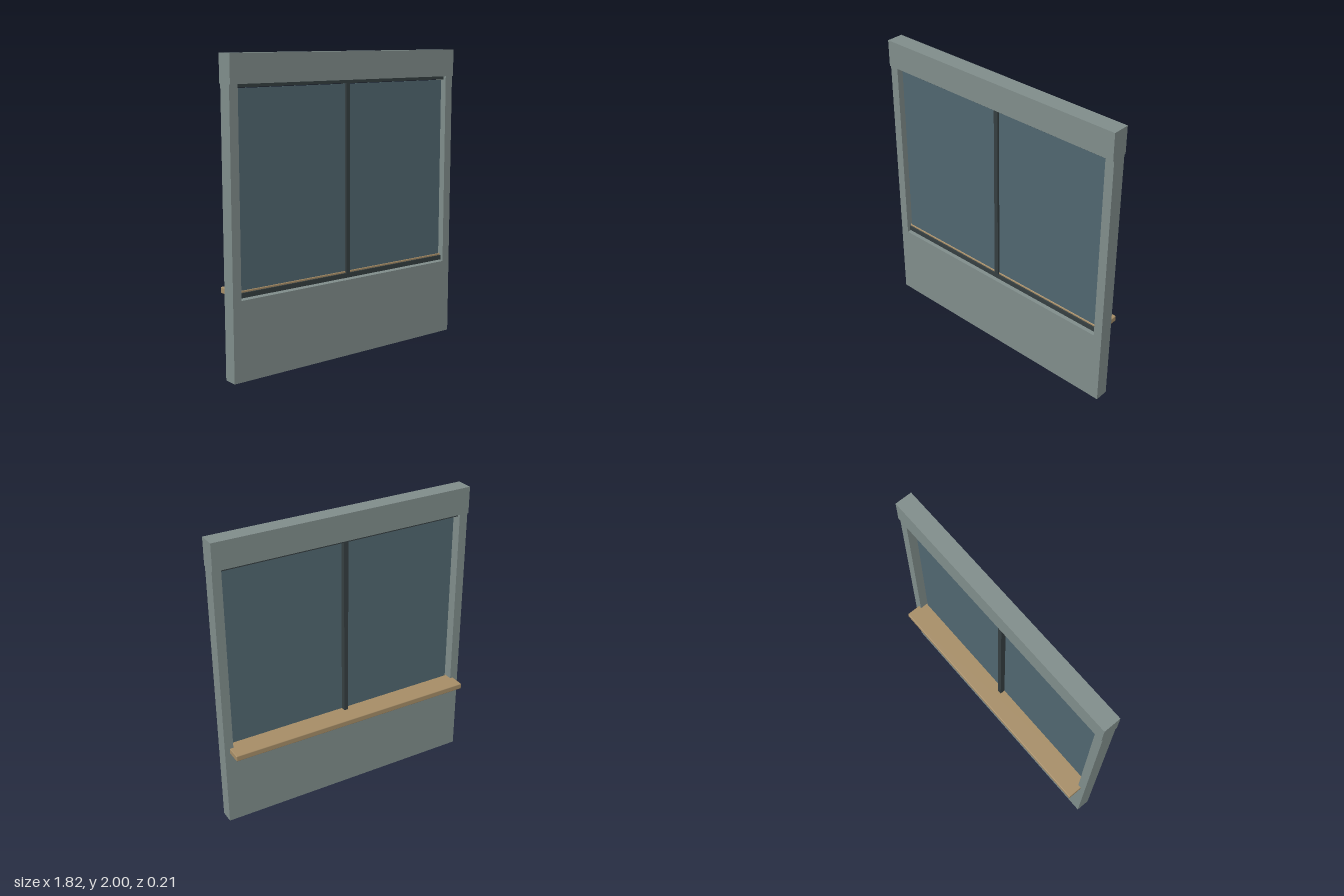
import * as THREE from 'three';
import { RoundedBoxGeometry } from 'three/addons/geometries/RoundedBoxGeometry.js';

const wallMat = new THREE.MeshStandardMaterial({ color: 0x7f8c8a });
const frameMat = new THREE.MeshStandardMaterial({ color: 0x353e40 });
const glassMat = new THREE.MeshStandardMaterial({ color: 0x50666f });
const woodMat = new THREE.MeshStandardMaterial({ color: 0xa58c66 });

export function createModel() {
  const model = new THREE.Group();
  model.name = 'windowWall';

  const add = (name, geometry, material) => {
    const mesh = new THREE.Mesh(geometry, material);
    mesh.name = name;
    model.add(mesh);
    return mesh;
  };
  // Box given by its limits on each axis
  const box = (name, material, [x0, x1], [y0, y1], [z0, z1]) =>
    add(name, new THREE.BoxGeometry(x1 - x0, y1 - y0, z1 - z0), material)
      .position.set((x0 + x1) / 2, (y0 + y1) / 2, (z0 + z1) / 2);

  // Lower wall and both jambs in one U-shaped slab
  const halfWidth = 0.91, opening = 0.85, ledge = 0.516, headerBase = 1.82;
  const outline = new THREE.Shape([
    [-halfWidth, 0], [halfWidth, 0], [halfWidth, headerBase], [opening, headerBase],
    [opening, ledge], [-opening, ledge], [-opening, headerBase], [-halfWidth, headerBase],
  ].map(([x, y]) => new THREE.Vector2(x, y)));
  add('wall', new THREE.ExtrudeGeometry(outline, { depth: 0.095, bevelEnabled: false }), wallMat);

  // Header, slightly proud of the wall on both faces
  box('header', wallMat, [-halfWidth, halfWidth], [headerBase, 2], [-0.011, 0.105]);

  // Window frame: top rail, bottom rail and centre mullion
  const frameDepth = [0.02, 0.075];
  box('topRail', frameMat, [-opening, opening], [1.798, 1.823], frameDepth);
  box('bottomRail', frameMat, [-opening, opening], [0.525, 0.556], frameDepth);
  box('mullion', frameMat, [-0.015, 0.015], [0.55, 1.8], frameDepth);

  // One pane on each side of the mullion, with a small gap to the jambs
  for (const side of [-1, 1]) {
    const xs = [side * 0.01, side * 0.84].sort((a, b) => a - b);
    box(side < 0 ? 'rightPane' : 'leftPane', glassMat, xs, [0.54, 1.794], [0.054, 0.06]);
  }

  // Wooden sill with eased edges, running from the frame out past the back
  add('sill', new RoundedBoxGeometry(1.75, 0.04, 0.165, 2, 0.006), woodMat)
    .position.set(0, 0.549, -0.0185);

  return model;
}
